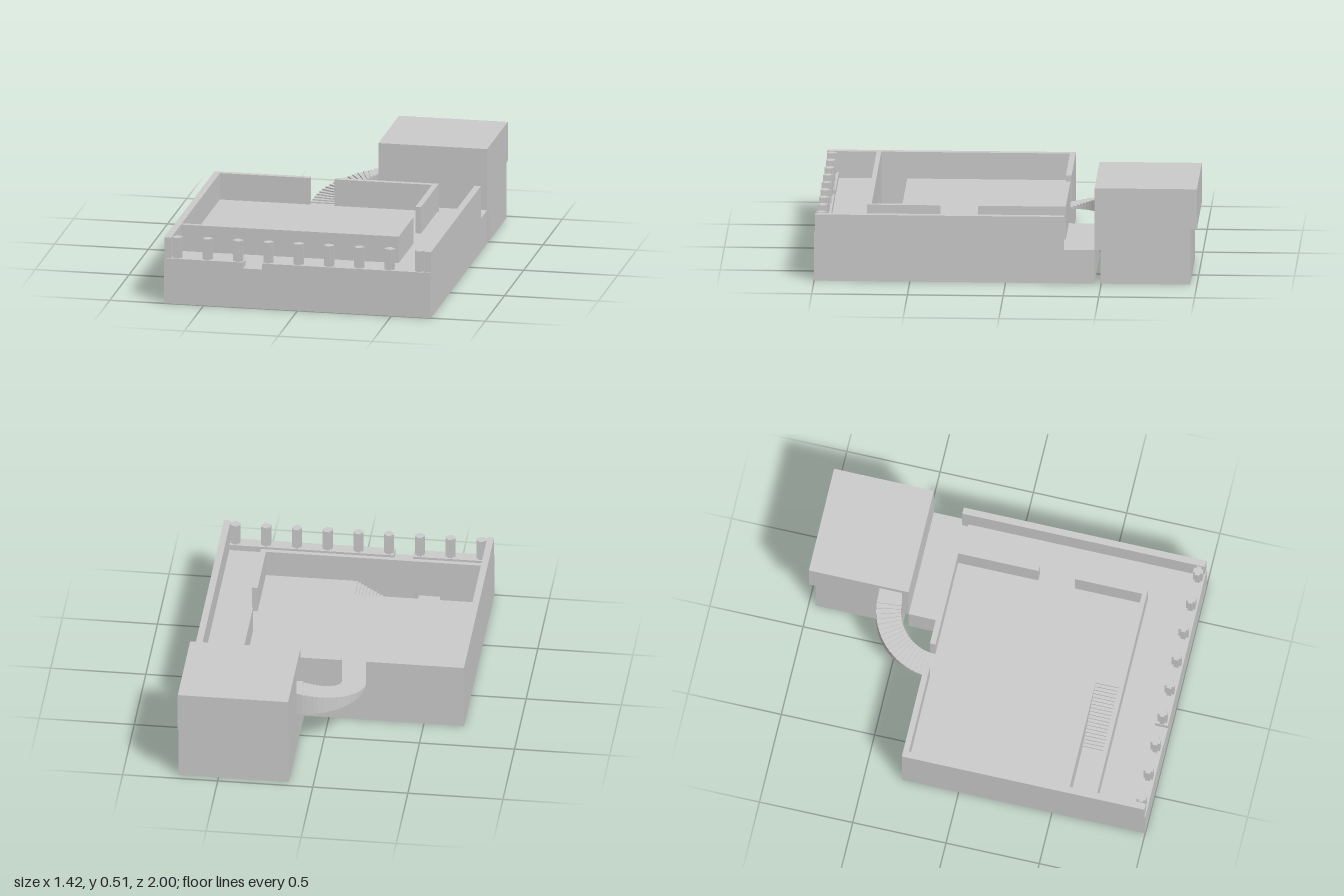
import * as THREE from 'three';

const FLOOR = 0.213, TOP = 0.356, BASEMENT = 0.03;

export function createModel() {
  const model = new THREE.Group();
  const mat = new THREE.MeshStandardMaterial({ color: 0xcccccc, flatShading: true });

  const add = (name, geo, parent = model) => {
    const mesh = new THREE.Mesh(geo, mat);
    mesh.name = name;
    parent.add(mesh);
    return mesh;
  };
  const group = (name) => {
    const g = new THREE.Group();
    g.name = name;
    model.add(g);
    return g;
  };
  // Box given by its limits on each axis
  const block = (name, x0, x1, y0, y1, z0, z1, parent) =>
    add(name, new THREE.BoxGeometry(x1 - x0, y1 - y0, z1 - z0), parent)
      .position.set((x0 + x1) / 2, (y0 + y1) / 2, (z0 + z1) / 2);
  // Plan outline of [x, z] points, raised from y0 to y1
  const plan = (pts) => pts.map(([x, z]) => new THREE.Vector2(x, -z));
  const slab = (name, outline, y0, y1, hole, parent) => {
    const shape = new THREE.Shape(plan(outline));
    if (hole) shape.holes.push(new THREE.Path(plan(hole)));
    const geo = new THREE.ExtrudeGeometry(shape, { depth: y1 - y0, bevelEnabled: false });
    geo.rotateX(-Math.PI / 2).translate(0, y0, 0);
    return add(name, geo, parent);
  };

  // Base with a sunken stairwell, and a low ledge reaching back to the tower
  const base = group('base');
  const ground = [[-0.71, 1], [0.71, 1], [0.71, -0.465], [0.13, -0.465], [0.13, -0.305], [-0.71, -0.305]];
  const deck = [[-0.71, 1], [0.71, 1], [0.71, -0.305], [0.675, -0.305], [0.675, -0.272],
    [0.485, -0.272], [0.485, -0.305], [-0.71, -0.305]];
  const well = [[-0.675, 0.575], [-0.03, 0.575], [-0.03, 0.71], [-0.675, 0.71]];
  const wellWithDoor = [[-0.675, 0.575], [-0.03, 0.575], [-0.03, 0.71], [-0.325, 0.71],
    [-0.325, 0.9], [-0.46, 0.9], [-0.46, 0.71], [-0.675, 0.71]];
  slab('foundation', ground, 0, BASEMENT, null, base);
  slab('lowerStorey', ground, BASEMENT, 0.18, wellWithDoor, base);
  slab('courtyardFloor', deck, 0.18, FLOOR, well, base);

  // Straight steps going down into the stairwell
  const down = group('stairwellSteps');
  const nDown = 18, run = 0.295 / nDown;
  for (let i = 0; i < nDown; i++) {
    const x = -0.03 - i * run;
    const y = FLOOR - (FLOOR - BASEMENT) * (i + 1) / (nDown + 1);
    block('step', x - run, x, BASEMENT, y, 0.575, 0.71, down);
  }

  // Outer walls and inner courtyard walls: x0, x1, z0, z1
  const walls = group('walls');
  [
    ['sideWallRight', -0.71, -0.675, -0.305, 0.995],
    ['sideWallLeft', 0.675, 0.71, -0.305, 0.995],
    ['backWallRight', -0.675, -0.195, -0.305, -0.275],
    ['backWallLeft', -0.065, 0.455, -0.305, -0.275],
    ['innerWallBack', 0.455, 0.485, -0.305, 0.155],
    ['innerWallFront', 0.455, 0.485, 0.35, 0.735],
    ['innerFrontWall', -0.675, 0.455, 0.71, 0.735],
  ].forEach(([name, x0, x1, z0, z1]) => block(name, x0, x1, FLOOR, TOP, z0, z1, walls));

  // Front sill, open at the entrance, with a row of cross-shaped columns
  const porch = group('colonnade');
  block('sillRight', -0.675, -0.29, FLOOR, 0.245, 0.932, 1, porch);
  block('sillLeft', -0.19, 0.675, FLOOR, 0.245, 0.932, 1, porch);
  block('sillEndRight', -0.71, -0.675, FLOOR, 0.245, 0.995, 1, porch);
  block('sillEndLeft', 0.675, 0.71, FLOOR, 0.245, 0.995, 1, porch);
  const a = 0.025, b = 0.013;
  const cross = [[-b, a], [b, a], [b, b], [a, b], [a, -b], [b, -b],
    [b, -a], [-b, -a], [-b, -b], [-a, -b], [-a, b], [-b, b]];
  for (let i = -4; i <= 4; i++) {
    slab('column', cross, 0.245, TOP, null, porch).position.set(i * 0.1615, 0, 0.966);
  }

  // Curved stair climbing a quarter turn from the back opening to the tower door
  const curve = group('curvedStair');
  const nUp = 18, cx = 0.13, cz = -0.305, rIn = 0.195, rOut = 0.325;
  const at = (r, i) => {
    const t = (i / nUp) * Math.PI / 2;
    return [cx - r * Math.cos(t), cz - r * Math.sin(t)];
  };
  for (let i = 0; i < nUp; i++) {
    slab('step', [at(rIn, i), at(rOut, i), at(rOut, i + 1), at(rIn, i + 1)],
      0.21, FLOOR + 0.12 * (i + 1) / nUp, null, curve);
  }

  // Tower: set-back lower part, and a wider room above with a door to the stair
  const tower = group('tower');
  block('towerBase', 0.13, 0.71, 0, 0.18, -0.965, -0.495, tower);
  block('towerMiddle', 0.13, 0.71, 0.18, 0.3, -0.965, -0.465, tower);
  block('roomFloor', 0.13, 0.71, 0.3, 0.333, -1, -0.465, tower);
  block('roof', 0.13, 0.71, 0.48, 0.512, -1, -0.465, tower);
  [
    ['roomBack', 0.13, 0.71, -1, -0.965],
    ['roomFront', 0.13, 0.71, -0.5, -0.465],
    ['roomSide', 0.675, 0.71, -0.965, -0.5],
    ['doorSideWall', 0.13, 0.165, -0.965, -0.63],
  ].forEach(([name, x0, x1, z0, z1]) => block(name, x0, x1, 0.333, 0.48, z0, z1, tower));

  return model;
}
